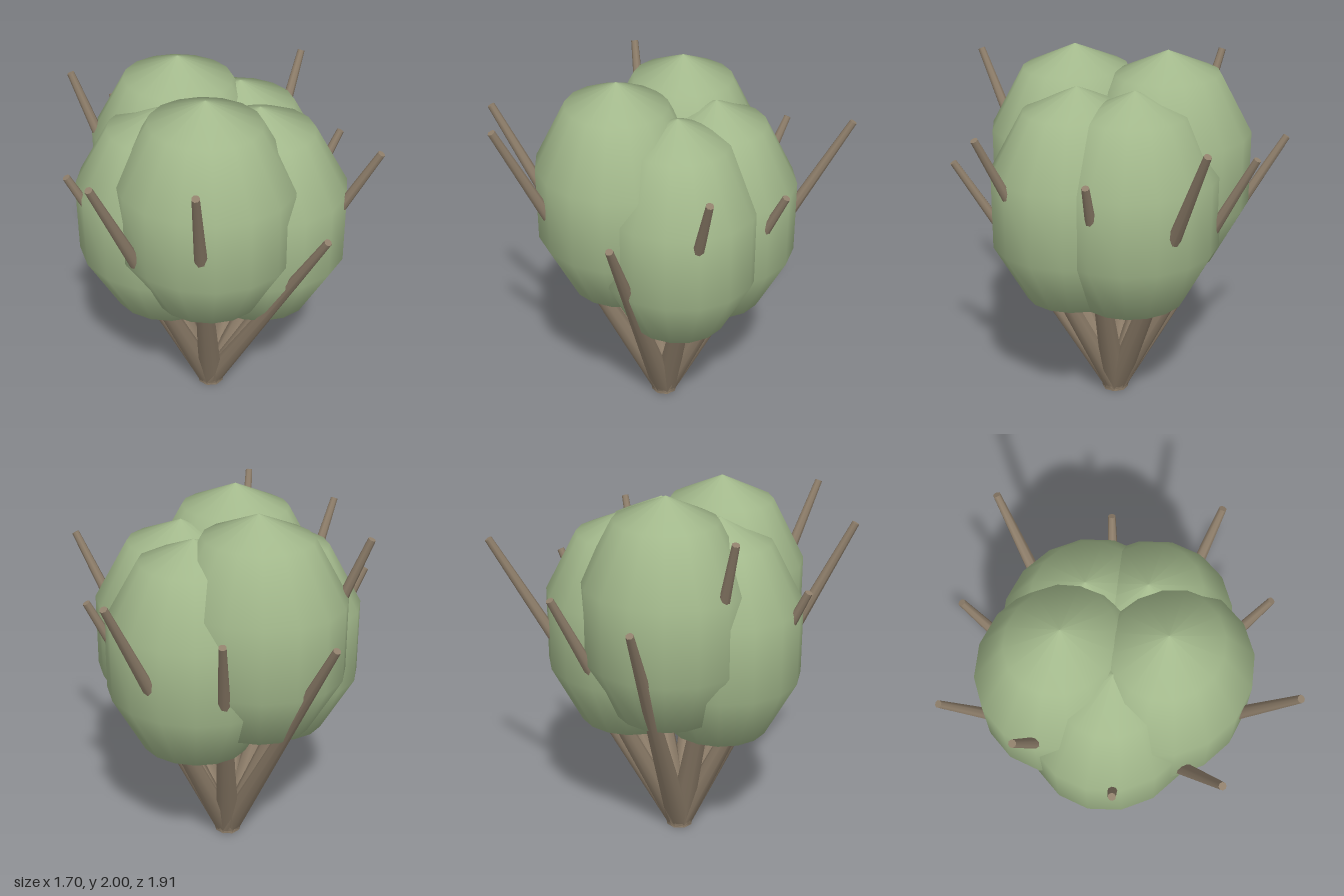
import * as THREE from 'three';

const leafMaterial = new THREE.MeshStandardMaterial({ color: 0xa3b98c });
const barkMaterial = new THREE.MeshStandardMaterial({ color: 0x8f7f6b });

// Centres of the overlapping leaf clumps
const CLUMPS = [
  [0, 1.36, 0.28],
  [-0.29, 1.36, -0.14],
  [-0.27, 1.22, 0.16],
  [0.2, 1.22, 0.01],
  [0.02, 1.22, -0.24],
];

// Branch tips, fanning out all round
const TIPS = [
  [0.17, 1.73, -0.94],
  [-0.35, 1.55, -0.76],
  [-0.83, 1.51, -0.51],
  [-0.83, 1.89, 0.01],
  [-0.68, 1.55, 0.47],
  [-0.37, 1.78, 0.88],
  [0.17, 1.87, 0.93],
  [0.68, 1.43, 0.46],
  [0.83, 1.7, 0.01],
  [0.52, 1.52, -0.47],
];

const ROOT = new THREE.Vector3(-0.07, 0, 0.02);

// Tall rounded clump with only a few bands in height
function leafClump(center) {
  const geometry = new THREE.SphereGeometry(1, 16, 5);
  geometry.scale(0.495, 0.64, 0.455);
  geometry.computeVertexNormals();
  // Weld the shading across the seam
  const normal = geometry.attributes.normal;
  for (let row = 0; row <= 5; row++) {
    const a = row * 17, b = a + 16;
    const n = new THREE.Vector3().fromBufferAttribute(normal, a)
      .add(new THREE.Vector3().fromBufferAttribute(normal, b)).normalize();
    normal.setXYZ(a, n.x, n.y, n.z);
    normal.setXYZ(b, n.x, n.y, n.z);
  }
  const mesh = new THREE.Mesh(geometry, leafMaterial);
  mesh.name = 'leafClump';
  mesh.position.set(...center);
  return mesh;
}

// Tapered straight branch, cut level at the ground
function branch(tip) {
  const axis = new THREE.Vector3(...tip).sub(ROOT);
  const length = axis.length();
  const geometry = new THREE.CylinderGeometry(0.02, 0.074, length, 8);
  geometry.translate(0, length / 2, 0);
  geometry.applyQuaternion(
    new THREE.Quaternion().setFromUnitVectors(new THREE.Vector3(0, 1, 0), axis.normalize())
  );
  const position = geometry.attributes.position;
  for (let i = 0; i < position.count; i++) {
    if (position.getY(i) < 0.1) position.setY(i, 0);
  }
  const mesh = new THREE.Mesh(geometry, barkMaterial);
  mesh.name = 'branch';
  mesh.position.copy(ROOT);
  return mesh;
}

export function createModel() {
  const model = new THREE.Group();
  model.name = 'bush';

  const foliage = new THREE.Group();
  foliage.name = 'foliage';
  for (const center of CLUMPS) foliage.add(leafClump(center));

  const branches = new THREE.Group();
  branches.name = 'branches';
  for (const tip of TIPS) branches.add(branch(tip));

  model.add(foliage, branches);
  return model;
}
